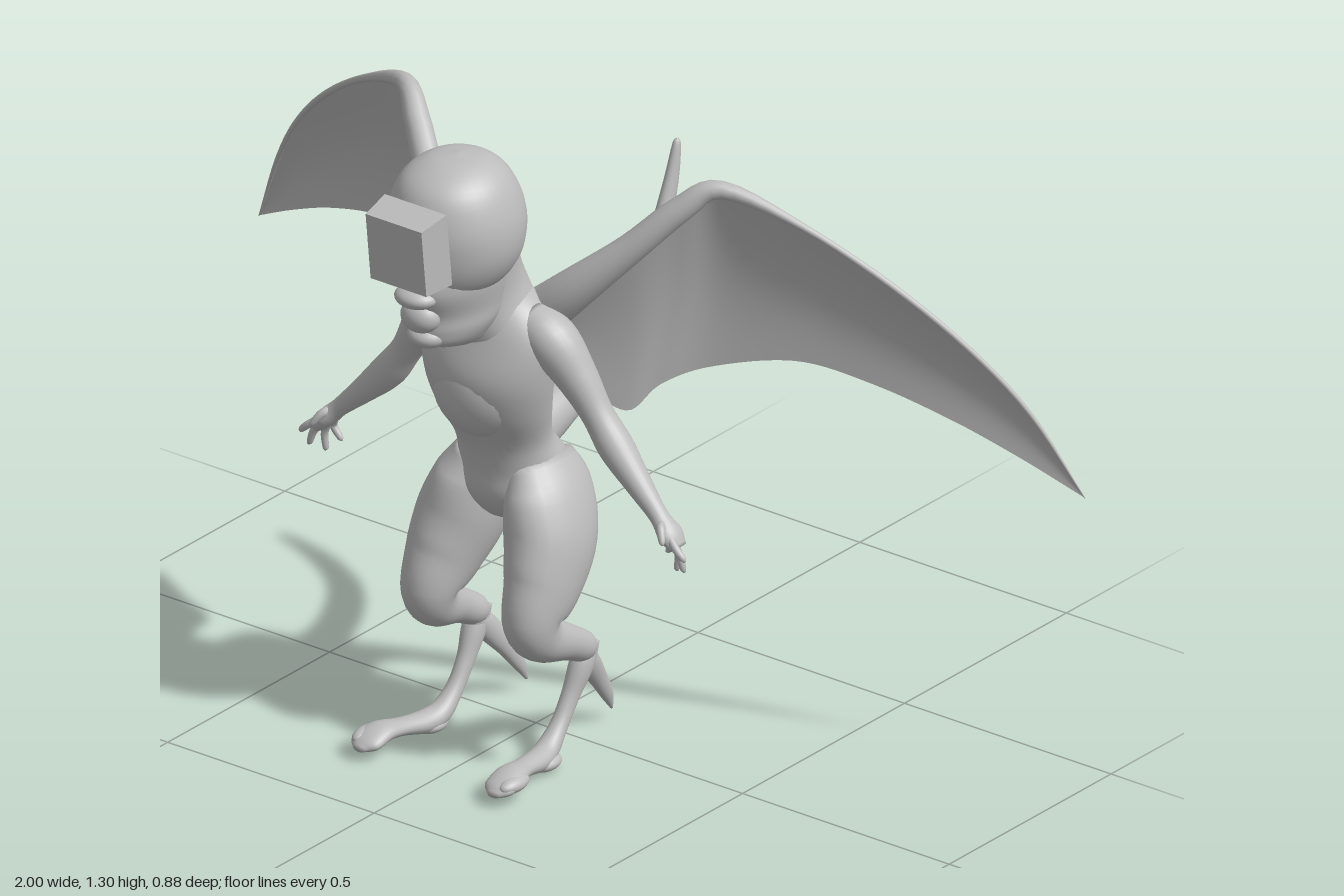
import * as THREE from 'three';

const skin = new THREE.MeshStandardMaterial({ color: 0xbcbcbc });
skin.name = 'grey skin';
const membraneSkin = skin.clone();
membraneSkin.side = THREE.DoubleSide;

const X = new THREE.Vector3(1, 0, 0);
const Y = new THREE.Vector3(0, 1, 0);
const Z = new THREE.Vector3(0, 0, 1);
const V = (p) => new THREE.Vector3(p[0], p[1], p[2]);

function add(parent, name, geometry, material = skin) {
  const mesh = new THREE.Mesh(geometry, material);
  mesh.name = name;
  parent.add(mesh);
  return mesh;
}

// Smooth tube through sections [x, y, z, half width along ref, half depth]
function loft(sections, ref = X, fixedTangent = null, sides = 24) {
  const path = new THREE.CatmullRomCurve3(sections.map(V), false, 'catmullrom', 0.5);
  const size = new THREE.CatmullRomCurve3(
    sections.map((s) => new THREE.Vector3(s[3], s[4] ?? s[3], 0)), false, 'catmullrom', 0.5);
  const steps = (sections.length - 1) * 5;
  const pos = [], idx = [];
  for (let i = 0; i <= steps; i++) {
    const t = i / steps;
    const c = path.getPoint(t), r = size.getPoint(t);
    const T = fixedTangent ?? path.getTangent(t);
    const S = ref.clone().addScaledVector(T, -ref.dot(T)).normalize();
    const N = T.clone().cross(S);
    for (let k = 0; k < sides; k++) {
      const a = (k / sides) * Math.PI * 2;
      const p = c.clone()
        .addScaledVector(S, Math.max(r.x, 0.001) * Math.cos(a))
        .addScaledVector(N, Math.max(r.y, 0.001) * Math.sin(a));
      pos.push(p.x, p.y, p.z);
      if (i < steps) {
        const k2 = (k + 1) % sides, a0 = i * sides, a1 = a0 + sides;
        idx.push(a0 + k, a0 + k2, a1 + k, a0 + k2, a1 + k2, a1 + k);
      }
    }
  }
  // end caps
  const last = steps * sides, c0 = pos.length / 3;
  pos.push(...sections[0].slice(0, 3), ...sections[sections.length - 1].slice(0, 3));
  for (let k = 0; k < sides; k++) {
    const k2 = (k + 1) % sides;
    idx.push(c0, k2, k, c0 + 1, last + k, last + k2);
  }
  const g = new THREE.BufferGeometry();
  g.setAttribute('position', new THREE.Float32BufferAttribute(pos, 3));
  g.setIndex(idx);
  g.computeVertexNormals();
  return g;
}

// Upright form from rows [y, front z, back z, half width], top to bottom
function stack(rows) {
  return loft(rows.map(([y, f, b, w]) => [0, y, (f + b) / 2, w, (f - b) / 2]),
    X, Y.clone().negate(), 36);
}

function ellipsoid(parent, name, [x, y, z], [rx, ry, rz]) {
  const m = add(parent, name, new THREE.SphereGeometry(1, 24, 16));
  m.position.set(x, y, z);
  m.scale.set(rx, ry, rz);
  return m;
}

function buildHead() {
  const head = new THREE.Group();
  head.name = 'head';
  add(head, 'skull', stack([
    [1.30, 0.245, 0.235, 0.005], [1.29, 0.305, 0.18, 0.06], [1.255, 0.36, 0.137, 0.103],
    [1.19, 0.385, 0.108, 0.128], [1.13, 0.385, 0.107, 0.13], [1.08, 0.375, 0.118, 0.113],
    [1.04, 0.35, 0.14, 0.08], [1.01, 0.3, 0.18, 0.03]]));
  add(head, 'jaw', stack([
    [1.10, 0.375, 0.14, 0.095], [1.05, 0.385, 0.13, 0.09], [1.0, 0.365, 0.13, 0.08],
    [0.965, 0.362, 0.14, 0.075], [0.935, 0.35, 0.16, 0.06], [0.912, 0.29, 0.18, 0.04],
    [0.90, 0.25, 0.21, 0.01]]));
  ellipsoid(head, 'upperLip', [0, 1.045, 0.37], [0.045, 0.022, 0.038]);
  ellipsoid(head, 'snout', [0, 1.0, 0.355], [0.042, 0.035, 0.036]);
  ellipsoid(head, 'chin', [0, 0.952, 0.335], [0.04, 0.025, 0.04]);
  // visor block, narrowing toward its front face
  const visor = new THREE.BoxGeometry(0.15, 0.155, 0.07);
  const p = visor.attributes.position;
  for (let i = 0; i < p.count; i++) {
    if (p.getZ(i) > 0) p.setXY(i, p.getX(i) * 0.9, p.getY(i) * 0.92);
  }
  visor.computeVertexNormals();
  const m = add(head, 'visor', visor);
  m.position.set(0, 1.159, 0.398);
  m.rotation.x = 0.11;
  return head;
}

function buildBody() {
  const body = new THREE.Group();
  body.name = 'body';
  add(body, 'neck', loft([[0, 1.1, 0.2, 0.08, 0.085], [0, 1.0, 0.165, 0.075, 0.09],
    [0, 0.92, 0.14, 0.1, 0.09], [0, 0.85, 0.13, 0.09, 0.08]]));
  add(body, 'torso', stack([
    [1.0, 0.17, 0.08, 0.04], [0.96, 0.2, 0.062, 0.105], [0.9, 0.225, 0.052, 0.145],
    [0.82, 0.248, 0.045, 0.14], [0.74, 0.23, 0.035, 0.122], [0.66, 0.186, 0.015, 0.1],
    [0.6, 0.17, -0.03, 0.107], [0.54, 0.165, -0.042, 0.105], [0.49, 0.13, -0.03, 0.06],
    [0.475, 0.08, 0.02, 0.01]]));
  ellipsoid(body, 'breast', [0, 0.785, 0.16], [0.105, 0.11, 0.092]);
  add(body, 'tail', loft([[0, 0.62, 0.05, 0.05, 0.06], [0, 0.64, -0.04, 0.045, 0.05],
    [0, 0.662, -0.13, 0.032, 0.036], [0, 0.715, -0.23, 0.028, 0.034],
    [0, 0.79, -0.315, 0.023, 0.03], [0, 0.89, -0.378, 0.018, 0.024],
    [0, 0.99, -0.417, 0.013, 0.017], [0, 1.06, -0.434, 0.008, 0.009],
    [0, 1.073, -0.436, 0.001]]));
  return body;
}

function buildArm(s) {
  const arm = new THREE.Group();
  arm.name = s > 0 ? 'leftArm' : 'rightArm';
  const limb = (name, pts, sides) =>
    add(arm, name, loft(pts.map(([x, ...r]) => [x * s, ...r]), Z, null, sides));
  limb('armLimb', [[0.08, 0.93, 0.13, 0.04], [0.135, 0.9, 0.125, 0.053, 0.05],
    [0.185, 0.835, 0.113, 0.043, 0.04], [0.23, 0.765, 0.105, 0.033, 0.031],
    [0.275, 0.705, 0.103, 0.036, 0.034], [0.335, 0.645, 0.108, 0.027, 0.025],
    [0.385, 0.598, 0.113, 0.02, 0.018], [0.415, 0.568, 0.115, 0.029, 0.019],
    [0.435, 0.545, 0.115, 0.02, 0.012]]);
  // four fingers and a thumb
  [[0.462, 0.535, 0.135], [0.452, 0.507, 0.122], [0.425, 0.497, 0.107], [0.397, 0.522, 0.098]]
    .forEach(([x, y, z], i) => limb('finger', [
      [0.418 - i * 0.004, 0.572 - i * 0.003, 0.127 - i * 0.008, 0.008],
      [(x + 0.424) / 2 + 0.003, (y + 0.565) / 2, z, 0.008],
      [x, y, z, 0.006], [x - 0.001, y - 0.005, z, 0.001]], 10));
  limb('thumb', [[0.4, 0.59, 0.12, 0.01], [0.41, 0.585, 0.138, 0.009],
    [0.423, 0.566, 0.151, 0.006], [0.425, 0.56, 0.153, 0.001]], 10);
  return arm;
}

function buildLeg(s) {
  const leg = new THREE.Group();
  leg.name = s > 0 ? 'leftLeg' : 'rightLeg';
  const limb = (name, pts) =>
    add(leg, name, loft(pts.map(([x, ...r]) => [x * s, ...r])));
  limb('thighAndShin', [[0.06, 0.61, 0.065, 0.045, 0.08], [0.085, 0.54, 0.07, 0.068, 0.11],
    [0.105, 0.46, 0.09, 0.078, 0.11], [0.118, 0.385, 0.13, 0.069, 0.093],
    [0.123, 0.32, 0.168, 0.055, 0.066], [0.127, 0.275, 0.145, 0.043, 0.05],
    [0.132, 0.24, 0.075, 0.033, 0.036], [0.13, 0.21, 0.02, 0.029, 0.03],
    [0.128, 0.2, -0.005, 0.012]]);
  limb('shank', [[0.13, 0.22, 0.0, 0.02], [0.13, 0.175, 0.025, 0.024, 0.026],
    [0.127, 0.12, 0.055, 0.018, 0.02], [0.127, 0.07, 0.09, 0.018, 0.018],
    [0.13, 0.035, 0.13, 0.024, 0.022], [0.137, 0.027, 0.17, 0.026, 0.022],
    [0.147, 0.036, 0.23, 0.024, 0.017], [0.157, 0.042, 0.28, 0.032, 0.018],
    [0.162, 0.032, 0.32, 0.033, 0.015], [0.163, 0.025, 0.342, 0.012, 0.006]]);
  ellipsoid(leg, 'heelPad', [0.137 * s, 0.017, 0.15], [0.03, 0.017, 0.04]);
  ellipsoid(leg, 'outerToe', [0.178 * s, 0.037, 0.295], [0.02, 0.016, 0.04]);
  limb('spur', [[0.128, 0.2, 0.03, 0.02], [0.122, 0.165, -0.005, 0.019, 0.026],
    [0.112, 0.11, -0.05, 0.014, 0.02], [0.106, 0.06, -0.085, 0.01, 0.014],
    [0.103, 0.025, -0.102, 0.003]]);
  return leg;
}

function buildWing(s) {
  const wing = new THREE.Group();
  wing.name = s > 0 ? 'leftWing' : 'rightWing';
  const flip = (pts) => pts.map(([x, ...r]) => [x * s, ...r]);
  const lead = flip([[0.06, 0.94, 0.07], [0.14, 1.01, 0.06], [0.24, 1.1, 0.015],
    [0.32, 1.185, -0.04], [0.385, 1.222, -0.085], [0.53, 1.155, -0.15],
    [0.68, 1.05, -0.225], [0.81, 0.925, -0.3], [0.91, 0.79, -0.365], [1.0, 0.615, -0.42]]);
  const trail = flip([[0.07, 0.8, 0.06], [0.13, 0.755, 0.015], [0.19, 0.703, -0.04],
    [0.235, 0.755, -0.085], [0.31, 0.792, -0.145], [0.46, 0.822, -0.215],
    [0.6, 0.795, -0.27], [0.75, 0.742, -0.325], [0.88, 0.68, -0.375], [1.0, 0.615, -0.42]]);
  // skin stretched between the leading and trailing edges
  const curve = (pts) => new THREE.CatmullRomCurve3(pts.map(V), false, 'catmullrom', 0.5);
  const A = curve(lead), B = curve(trail), nu = 60, nv = 12, pos = [], idx = [];
  for (let i = 0; i <= nu; i++) {
    const a = A.getPoint(i / nu), b = B.getPoint(i / nu);
    for (let j = 0; j <= nv; j++) {
      const p = a.clone().lerp(b, j / nv);
      p.z -= 0.03 * Math.sin(Math.PI * j / nv) * Math.sin(Math.PI * i / nu);
      pos.push(p.x, p.y, p.z);
      if (i < nu && j < nv) {
        const q = i * (nv + 1) + j, r = q + nv + 1;
        idx.push(q, q + 1, r, q + 1, r + 1, r);
      }
    }
  }
  const g = new THREE.BufferGeometry();
  g.setAttribute('position', new THREE.Float32BufferAttribute(pos, 3));
  g.setIndex(idx);
  g.computeVertexNormals();
  add(wing, 'wingMembrane', g, membraneSkin);
  // bone along the leading edge, thick to the wrist and fine to the tip
  const radii = [0.05, 0.042, 0.03, 0.026, 0.018, 0.008, 0.007, 0.006, 0.005, 0.001];
  add(wing, 'wingBone', loft(
    lead.map(([x, y, z], i) => [x, y - radii[i] * 0.6, z, radii[i]]), Z, null, 14));
  return wing;
}

export function createModel() {
  const model = new THREE.Group();
  model.name = 'wingedCreature';
  model.add(buildHead(), buildBody());
  for (const s of [1, -1]) model.add(buildArm(s), buildLeg(s), buildWing(s));
  return model;
}
